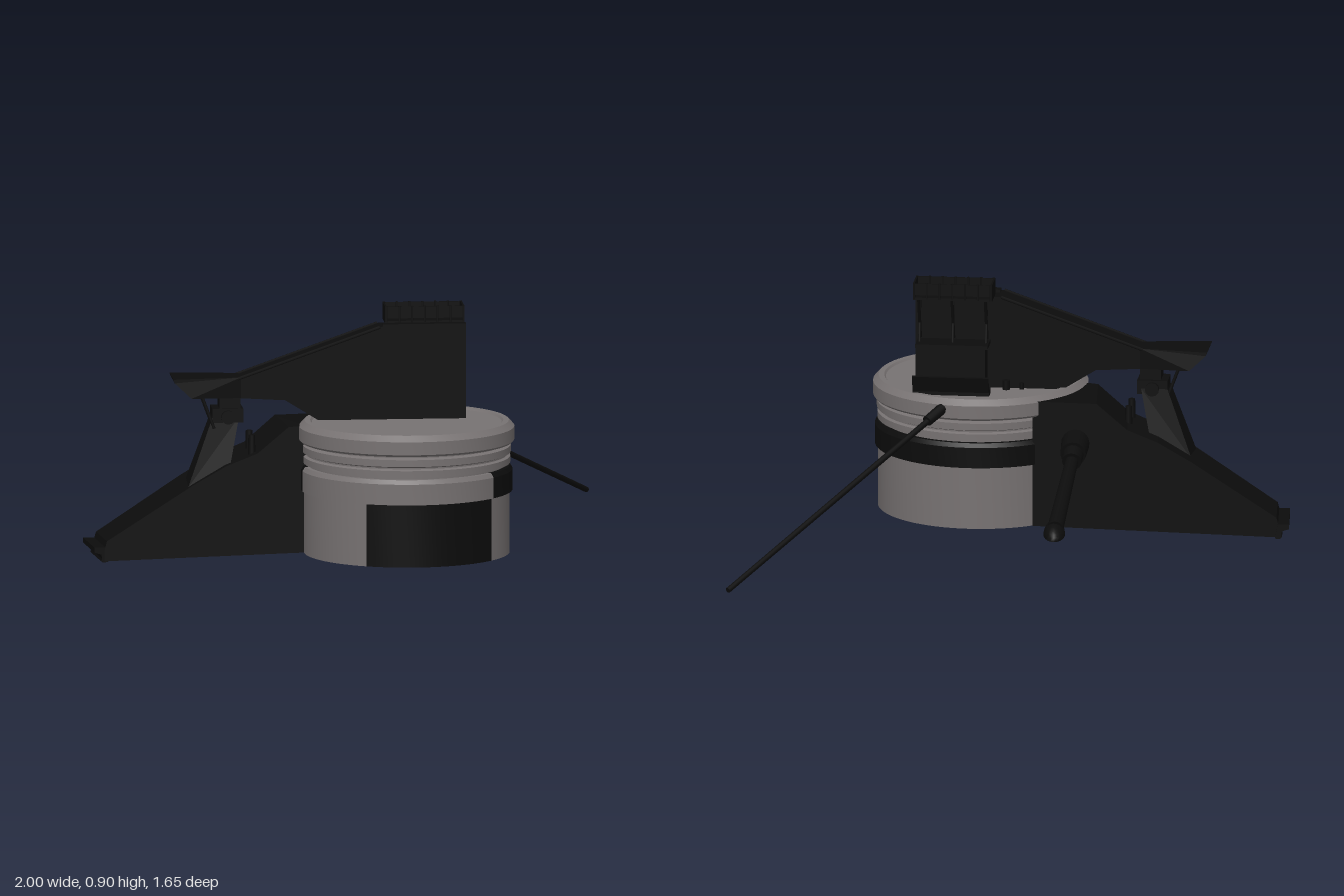
import * as THREE from 'three';
import { toCreasedNormals } from 'three/addons/utils/BufferGeometryUtils.js';

const dark = new THREE.MeshStandardMaterial({ color: 0x0c0c0c, side: THREE.DoubleSide });
const metal = new THREE.MeshStandardMaterial({ color: 0x777272, side: THREE.DoubleSide });
const V = (x, y, z) => new THREE.Vector3(x, y, z);

function add(parent, name, geo, x = 0, y = 0, z = 0, mat = dark) {
  const m = new THREE.Mesh(geo, mat);
  m.name = name;
  m.position.set(x, y, z);
  parent.add(m);
  return m;
}

// box given by its minimum and maximum corners
function block(parent, name, a, b) {
  return add(parent, name, new THREE.BoxGeometry(b[0] - a[0], b[1] - a[1], b[2] - a[2]),
    (a[0] + b[0]) / 2, (a[1] + b[1]) / 2, (a[2] + b[2]) / 2);
}

// round bar between two points
function rod(parent, name, a, b, r0, r1 = r0, sides = 12) {
  const p = V(...a), q = V(...b), d = q.clone().sub(p);
  const m = add(parent, name, new THREE.CylinderGeometry(r1, r0, d.length(), sides));
  m.position.copy(p).add(q).multiplyScalar(0.5);
  m.quaternion.setFromUnitVectors(V(0, 1, 0), d.normalize());
  return m;
}

// side profile extruded over z 0..1, then each vertex is moved by the rule
function profile(parent, name, pts, rule) {
  const shape = new THREE.Shape(pts.map(p => new THREE.Vector2(...p)));
  const geo = new THREE.ExtrudeGeometry(shape, { depth: 1, bevelEnabled: false });
  const pos = geo.attributes.position;
  for (let i = 0; i < pos.count; i++) {
    pos.setXYZ(i, ...rule(pos.getX(i), pos.getY(i), pos.getZ(i)));
  }
  geo.computeVertexNormals();
  return add(parent, name, geo);
}

function lathe(parent, name, pts, mat, from = 0, sweep = 360) {
  const rad = Math.PI / 180;
  const geo = new THREE.LatheGeometry(pts.map(p => new THREE.Vector2(...p)),
    Math.round(sweep / 5), from * rad, sweep * rad);
  return add(parent, name, toCreasedNormals(geo, 0.5), 0, 0, 0, mat);
}

function createModel() {
  const model = new THREE.Group();

  // round turret, open underneath
  const turret = new THREE.Group();
  turret.name = 'turret';
  turret.position.set(0.111, 0, 0.442);
  model.add(turret);
  const wall = [[0.352, 0.262], [0.352, 0.035], [0.369, 0.035], [0.369, 0.265]];
  lathe(turret, 'drumFrontPanel', wall, dark, -33, 78);
  lathe(turret, 'drumWall', wall, metal, 45, 282);
  const band = [[0.345, 0.262], [0.379, 0.262], [0.379, 0.337], [0.37, 0.352], [0.34, 0.352]];
  lathe(turret, 'bandFront', band, metal, -90, 135);
  lathe(turret, 'bandBack', band, dark, 45, 225);
  lathe(turret, 'ringStack', [[0.30, 0.352], [0.354, 0.352], [0.354, 0.361], [0.371, 0.361], [0.371, 0.385],
    [0.36, 0.39], [0.36, 0.395], [0.373, 0.4], [0.373, 0.425], [0.354, 0.43], [0.354, 0.438]], metal);
  lathe(turret, 'innerLedge', [[0.352, 0.262], [0.325, 0.262], [0.325, 0.35], [0.31, 0.35],
    [0.31, 0.45], [0, 0.45]], metal);
  lathe(turret, 'rimAndLid', [[0.354, 0.438], [0.38, 0.438], [0.386, 0.445], [0.386, 0.492],
    [0.366, 0.513], [0.346, 0.513], [0.34, 0.506], [0, 0.506]], metal);

  // sloping side body: widens toward the turret and is cut to meet its wall
  profile(model, 'ramp',
    [[-0.975, 0.007], [-0.25, 0.035], [-0.25, 0.495], [-0.31, 0.49], [-0.42, 0.395],
      [-0.53, 0.35], [-0.65, 0.28], [-0.955, 0.08]],
    (x, y, t) => {
      const nx = x > -0.26 ? -0.25 + 0.17 * (1 - t) : x;
      const back = 0.08 + 0.045 * (nx + 1), front = 0.30 + 0.137 * (x + 1);
      return [nx, y, back + (front - back) * t];
    });
  profile(model, 'rampLip', [[-1, 0.04], [-0.975, 0.032], [-0.97, 0.003], [-0.95, 0.005], [-0.96, 0.058], [-1, 0.058]],
    (x, y, t) => [x, y, 0.073 + 0.232 * t]);

  // upper machinery, turned slightly about the vertical
  const upper = new THREE.Group();
  upper.name = 'upperMachinery';
  upper.position.set(0.33, 0, 0.335);
  upper.rotation.y = -0.09;
  model.add(upper);
  const top = new THREE.Group();
  top.name = 'armAssembly';
  top.position.x = -0.33;
  upper.add(top);

  const armBack = -0.032, armFront = 0.07;
  profile(top, 'arm',
    [[0.34, 0.505], [0.34, 0.84], [0.03, 0.84], [-0.48, 0.66], [-0.48, 0.59], [-0.31, 0.58], [-0.19, 0.505]],
    (x, y, t) => [x, y, armBack + (armFront - armBack) * t]);
  profile(top, 'armTip', [[-0.47, 0.665], [-0.715, 0.665], [-0.71, 0.652], [-0.65, 0.595], [-0.47, 0.59]],
    (x, y, t) => [x, y, 0.018 + (t - 0.5) * (x < -0.6 ? 0.17 : 0.104)]);
  block(top, 'armTopCap', [0.04, 0.835, 0.035], [0.34, 0.85, armFront]);
  for (const z of [armBack, armFront]) {
    rod(top, 'armEdgeRib', [-0.48, 0.66, z], [0.03, 0.84, z], 0.006, 0.006, 6);
  }
  for (const z of [-0.035, 0.065]) {
    rod(top, 'tipBrace', [-0.61, 0.6, z], [-0.565, 0.48, z], 0.006, 0.006, 6);
  }

  // leaning support between ramp and arm
  profile(top, 'supportColumn', [[-0.66, 0.27], [-0.51, 0.34], [-0.475, 0.52], [-0.57, 0.52]],
    (x, y, t) => [x, y, (t - 0.5) * (y > 0.4 ? 0.1 : 0.15) + 0.005]);
  block(top, 'supportBracket', [-0.57, 0.5, -0.045], [-0.46, 0.55, 0.06]);
  block(top, 'supportHead', [-0.545, 0.545, -0.03], [-0.47, 0.6, 0.055]);
  for (const z of [-0.045, 0.06]) {
    rod(top, 'supportPin', [-0.515, 0.52, z - 0.015], [-0.515, 0.52, z + 0.015], 0.025);
    rod(top, 'rampPost', [-0.43, 0.37, z], [-0.43, 0.455, z], 0.014, 0.012, 8);
  }

  // cabinet and bench behind the arm
  block(top, 'cabinet', [0.08, 0.505, -0.12], [0.325, 0.67, armBack]);
  block(top, 'cabinetLid', [0.07, 0.668, -0.128], [0.33, 0.682, armBack]);
  block(top, 'benchSeat', [0.06, 0.505, -0.165], [0.335, 0.528, -0.11]);
  block(top, 'benchBack', [0.06, 0.52, -0.179], [0.335, 0.58, -0.17]).rotation.x = -0.3;
  rod(top, 'lidKnob', [0.01, 0.5, -0.055], [0.01, 0.54, -0.055], 0.014);
  rod(top, 'smallLidKnob', [-0.045, 0.5, -0.047], [-0.045, 0.53, -0.047], 0.008);

  // railed platform carried on slanted braces
  const platform = new THREE.Group();
  platform.name = 'platform';
  top.add(platform);
  block(platform, 'platformFloor', [0.055, 0.842, -0.112], [0.34, 0.851, 0.0]);
  for (const z of [-0.109, -0.003]) {
    block(platform, 'platformSide', [0.055, 0.86, z - 0.003], [0.34, 0.902, z + 0.003]);
    for (let i = 0; i < 7; i++) {
      const x = 0.06 + i * 0.046;
      rod(platform, 'platformPost', [x, 0.845, z], [x, 0.904, z], 0.005, 0.005, 6);
    }
  }
  for (const x of [0.055, 0.334]) {
    block(platform, 'platformEnd', [x, 0.85, -0.112], [x + 0.006, 0.903, 0.0]);
  }
  for (const x of [0.08, 0.2, 0.32]) {
    rod(platform, 'outerBrace', [x, 0.845, -0.105], [x, 0.69, -0.045], 0.006, 0.006, 6);
    rod(platform, 'innerBrace', [x, 0.845, -0.055], [x, 0.68, -0.08], 0.005, 0.005, 6);
  }

  // rear outrigger: socket, tube and flat-soled foot
  const outrigger = new THREE.Group();
  outrigger.name = 'outrigger';
  model.add(outrigger);
  rod(outrigger, 'socket', [-0.235, 0.345, 0.13], [-0.228, 0.325, 0.03], 0.052, 0.046, 16);
  rod(outrigger, 'collar', [-0.228, 0.324, 0.035], [-0.224, 0.308, -0.012], 0.038, 0.035, 16);
  rod(outrigger, 'tube', [-0.225, 0.312, 0.0], [-0.174, 0.172, -0.44], 0.023, 0.029, 16);
  const sole = new THREE.SphereGeometry(1, 20, 12);
  const p = sole.attributes.position;
  for (let i = 0; i < p.count; i++) {
    const z = p.getZ(i), y = p.getY(i);
    p.setXYZ(i, p.getX(i) * 0.039, y > 0 ? y * 0.045 + z * 0.008 : y * 0.008 - z * 0.01, z * 0.08);
  }
  sole.computeVertexNormals();
  add(outrigger, 'foot', sole, -0.17, 0.148, -0.433);

  // long slim pole in its sleeve
  rod(model, 'poleSleeve', [0.215, 0.492, 0.123], [0.295, 0.445, 0.026], 0.021, 0.019);
  rod(model, 'pole', [0.28, 0.452, 0.045], [0.991, 0.035, -0.818], 0.011, 0.01);

  return model;
}

export { createModel };
